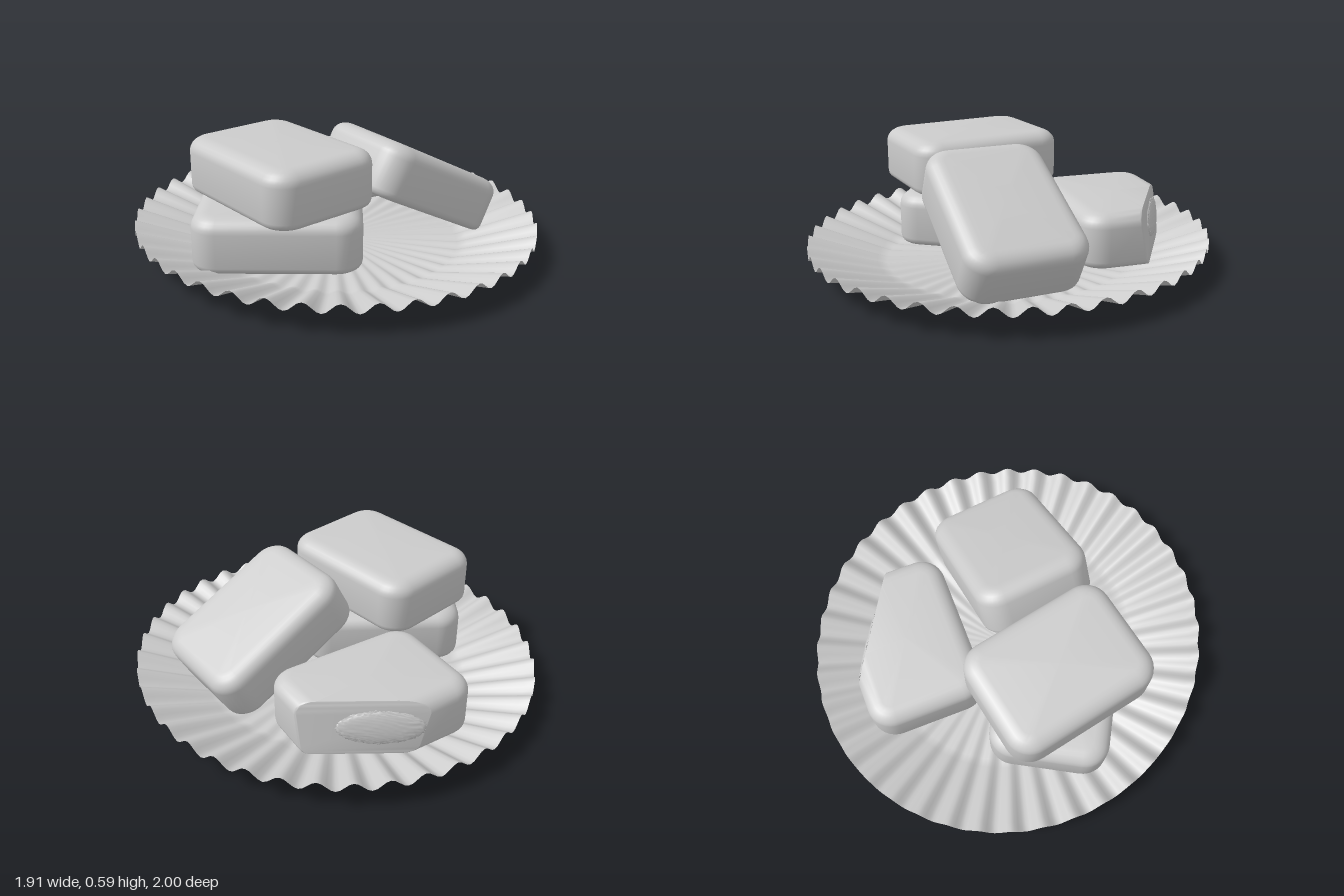
import * as THREE from 'three';
import { toCreasedNormals } from 'three/addons/utils/BufferGeometryUtils.js';

const material = new THREE.MeshStandardMaterial({ color: 0xcccccc });
const thin = new THREE.MeshStandardMaterial({ color: 0xcccccc, side: THREE.DoubleSide });
const rad = THREE.MathUtils.degToRad;

// Cake size, and the slanted cut that removes one corner
const W = 0.578, L = 0.773, H = 0.26, CORNER = 0.12;
const CUT_ANGLE = rad(31);
const cutOffset = (y) => 0.197 - 0.17 * y;

// Closed outline from straight sides { a: normal angle, o: offset }, with rounded corners
function outline(sides, radii, arcSteps = 8) {
  const points = [];
  sides.forEach((s, i) => {
    const t = sides[(i + 1) % sides.length];
    const r = radii[i];
    const turn = (t.a - s.a + Math.PI * 2) % (Math.PI * 2);
    const o1 = s.o - r, o2 = t.o - r, det = Math.sin(turn);
    const cx = (o1 * Math.sin(t.a) - o2 * Math.sin(s.a)) / det;
    const cz = (o2 * Math.cos(s.a) - o1 * Math.cos(t.a)) / det;
    for (let k = 0; k <= arcSteps; k++) {
      const a = s.a + (turn * k) / arcSteps;
      points.push([cx + r * Math.cos(a), cz + r * Math.sin(a)]);
    }
  });
  return points;
}

// Stack of outlines, soft at the top edge and tighter at the bottom edge
function cakeGeometry(cut) {
  const levels = [];
  for (let i = 0; i <= 4; i++) {
    const a = (i / 4) * Math.PI / 2;
    levels.push([-H / 2 + 0.035 * (1 - Math.sin(a)), 0.035 * (1 - Math.cos(a))]);
  }
  levels.reverse();
  levels.sort((p, q) => p[0] - q[0]);
  for (let i = 0; i <= 6; i++) {
    const a = (i / 6) * Math.PI / 2;
    levels.push([H / 2 - 0.065 * (1 - Math.sin(a)), 0.08 * (1 - Math.cos(a))]);
  }
  const position = [], index = [];
  let n = 0;
  for (const [y, inset] of levels) {
    const sides = [W, L, W, L].map((size, i) => ({ a: i * Math.PI / 2, o: size / 2 - inset }));
    const radii = [0, 0, 0, 0].fill(CORNER - inset);
    if (cut) {
      sides.splice(1, 0, { a: CUT_ANGLE, o: cutOffset(y) });
      radii.splice(0, 1, 0.015, 0.015);
    }
    const ring = outline(sides, radii);
    n = ring.length;
    ring.forEach(([x, z]) => position.push(x, y, z));
  }
  for (let k = 0; k < levels.length - 1; k++) {
    for (let i = 0; i < n; i++) {
      const a = k * n + i, b = k * n + ((i + 1) % n);
      index.push(a, a + n, b, b, a + n, b + n);
    }
  }
  // Flat caps
  const bottom = position.length / 3, top = bottom + 1, last = (levels.length - 1) * n;
  position.push(0, -H / 2, 0, 0, H / 2, 0);
  for (let i = 0; i < n; i++) {
    const j = (i + 1) % n;
    index.push(bottom, i, j, top, last + j, last + i);
  }
  const geometry = new THREE.BufferGeometry();
  geometry.setAttribute('position', new THREE.Float32BufferAttribute(position, 3));
  geometry.setIndex(index);
  return toCreasedNormals(geometry, rad(40));
}

// Crumbly filling: a flattened, bumpy oval lying in the cut face
function createFilling() {
  const geometry = new THREE.SphereGeometry(1, 56, 40);
  const p = geometry.attributes.position;
  const v = new THREE.Vector3();
  for (let i = 0; i < p.count; i++) {
    v.fromBufferAttribute(p, i);
    const bump = Math.sin(v.x * 23 + 4 * v.y) * Math.sin(v.y * 19 + 2) * Math.sin(v.z * 21 + 5 * v.x)
      + 0.6 * Math.sin(v.x * 41 + v.z * 37) * Math.sin(v.y * 43);
    v.multiplyScalar(1 + 0.06 * bump);
    p.setXYZ(i, v.x * 0.195, v.y * 0.08, v.z * 0.018);
  }
  geometry.computeVertexNormals();
  const filling = new THREE.Mesh(geometry, material);
  filling.name = 'filling';
  const o = cutOffset(0), along = -0.035;
  const c = Math.cos(CUT_ANGLE), s = Math.sin(CUT_ANGLE);
  filling.position.set(o * c - along * s, 0, o * s + along * c);
  filling.rotation.set(-0.17, Math.PI / 2 - CUT_ANGLE, 0, 'YXZ');
  return filling;
}

// Fluted paper plate: flat floor and a flared, rippled wall
function createPlate() {
  const waves = 40, segments = waves * 8, wallSteps = 8, inner = 0.62;
  const position = [0, 0.01, 0], index = [];
  for (let k = 0; k <= wallSteps; k++) {
    const t = k / wallSteps;
    const r = inner + (1 - inner) * t;
    for (let i = 0; i < segments; i++) {
      const a = (i / segments) * Math.PI * 2;
      const y = 0.012 + 0.115 * t + (0.008 + 0.015 * t) * Math.cos(a * waves);
      position.push(0.955 * r * Math.cos(a), Math.max(y, 0.004 * t), r * Math.sin(a));
    }
  }
  for (let i = 0; i < segments; i++) {
    const j = (i + 1) % segments;
    index.push(0, 1 + j, 1 + i);
    for (let k = 0; k < wallSteps; k++) {
      const a = 1 + k * segments + i, b = 1 + k * segments + j;
      index.push(a, b, a + segments, b, b + segments, a + segments);
    }
  }
  const geometry = new THREE.BufferGeometry();
  geometry.setAttribute('position', new THREE.Float32BufferAttribute(position, 3));
  geometry.setIndex(index);
  geometry.computeVertexNormals();
  const plate = new THREE.Mesh(geometry, thin);
  plate.name = 'flutedPlate';
  return plate;
}

export function createModel() {
  const model = new THREE.Group();
  model.name = 'plateOfCakes';
  model.add(createPlate());

  const whole = cakeGeometry(false);
  const cakes = [
    { name: 'lowerCake', at: [-0.365, 0.19, -0.05], yaw: 35, tilt: 0 },
    { name: 'topCake', at: [-0.36, 0.46, -0.05], yaw: -14.5, tilt: 0 },
    { name: 'leaningCake', at: [0.25, 0.32, 0.275], yaw: 70, tilt: 27.5 },
    { name: 'cutCake', at: [0.318, 0.2, -0.396], yaw: 64.5, tilt: 0, cut: true },
  ];
  for (const { name, at, yaw, tilt, cut } of cakes) {
    const cake = new THREE.Group();
    cake.name = name;
    const body = new THREE.Mesh(cut ? cakeGeometry(true) : whole, material);
    body.name = name + 'Body';
    cake.add(body);
    if (cut) cake.add(createFilling());
    cake.position.set(...at);
    cake.rotation.set(rad(tilt), rad(yaw), 0, 'YXZ');
    model.add(cake);
  }
  return model;
}
